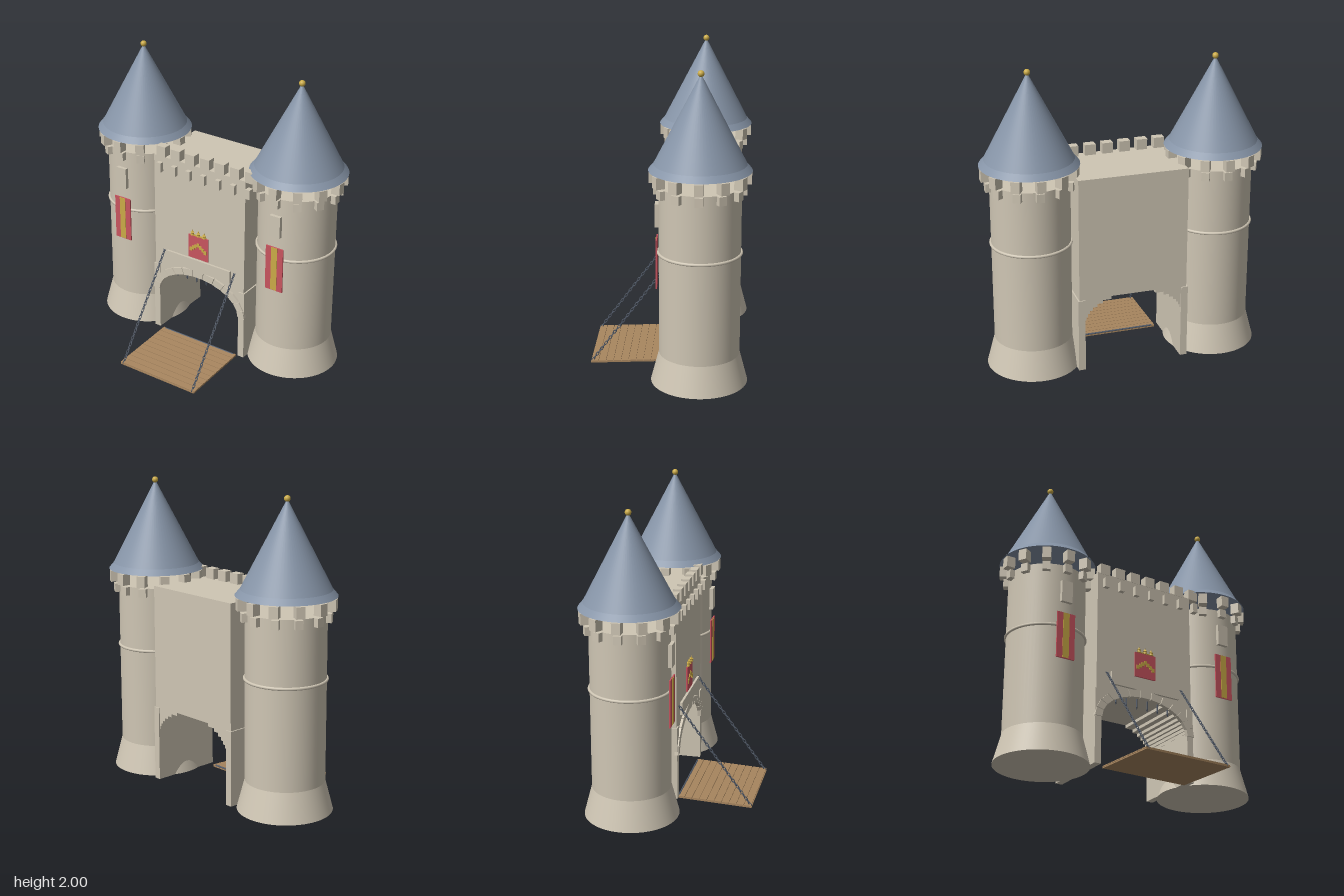
import * as THREE from 'three';

const material = (name, color) => {
  const m = new THREE.MeshStandardMaterial({ color });
  m.name = name;
  return m;
};

export function createModel() {
  const stone = material('stone', 0xcfc6b4);
  const slate = material('slate', 0x8795a8);
  const wood = material('wood', 0xa8865f);
  const iron = material('iron', 0x4f5866);
  const red = material('red', 0xc9545f);
  const gold = material('gold', 0xcbab47);

  const root = new THREE.Group();
  root.name = 'castleGate';

  const add = (parent, name, geometry, mat, x = 0, y = 0, z = 0) => {
    const mesh = new THREE.Mesh(geometry, mat);
    mesh.name = name;
    mesh.position.set(x, y, z);
    parent.add(mesh);
    return mesh;
  };
  // Box given by its extents
  const box = (parent, name, mat, x0, x1, y0, y1, z0, z1) =>
    add(parent, name, new THREE.BoxGeometry(x1 - x0, y1 - y0, z1 - z0), mat,
      (x0 + x1) / 2, (y0 + y1) / 2, (z0 + z1) / 2);
  const cylinder = (parent, name, mat, rTop, rBottom, y0, y1, open = false) =>
    add(parent, name, new THREE.CylinderGeometry(rTop, rBottom, y1 - y0, 64, 1, open), mat, 0, (y0 + y1) / 2, 0);

  // Round towers
  for (const side of [-1, 1]) {
    const tower = new THREE.Group();
    tower.name = side > 0 ? 'leftTower' : 'rightTower';
    tower.position.set(side * 0.6, 0, -0.2);
    root.add(tower);

    cylinder(tower, 'flaredBase', stone, 0.25, 0.3, 0.045, 0.235);
    cylinder(tower, 'shaft', stone, 0.25, 0.25, 0.235, 1.305);
    const band = add(tower, 'stringCourse', new THREE.TorusGeometry(0.252, 0.01, 8, 64), stone, 0, 0.885, 0);
    band.rotation.x = Math.PI / 2;

    // Ring of corbels and merlons
    for (let i = 0; i < 12; i++) {
      const segment = new THREE.Group();
      segment.name = 'parapetSegment';
      segment.rotation.y = (i * Math.PI) / 6;
      tower.add(segment);
      box(segment, 'corbel', stone, -0.025, 0.025, 1.25, 1.305, 0.235, 0.282);
      box(segment, 'merlon', stone, -0.028, 0.028, 1.32, 1.393, 0.25, 0.308);
    }

    // Conical roof
    cylinder(tower, 'eave', slate, 0.28, 0.312, 1.4, 1.438);
    cylinder(tower, 'roof', slate, 0, 0.28, 1.438, 1.98, true);
    add(tower, 'finial', new THREE.SphereGeometry(0.02, 20, 14), gold, 0, 1.98, 0);

    // Blind window and banner
    box(tower, 'window', stone, -0.038, 0.038, 1.045, 1.19, 0.235, 0.272);
    box(tower, 'banner', red, -0.063, 0.063, 0.662, 0.97, 0.258, 0.266);
    box(tower, 'bannerStripe', gold, -0.022, 0.022, 0.666, 0.968, 0.266, 0.269);
  }

  // Gatehouse wall with a stepped arched passage
  const a = 0.32, b = 0.19, springY = 0.35, steps = 9;
  const half = [];
  for (let i = 0; i < steps; i++) {
    const x = a * Math.sqrt(1 - (i / steps) ** 2);
    half.push([x, springY + (b * i) / steps], [x, springY + (b * (i + 1)) / steps]);
  }
  const outline = [
    [-0.355, 0.045], [-a, 0.045],
    ...half.map(([x, y]) => [-x, y]),
    ...half.slice().reverse(),
    [a, 0.045], [0.355, 0.045], [0.355, 1.343], [-0.355, 1.343],
  ].map(([x, y]) => new THREE.Vector2(x, y));
  add(root, 'gateWall', new THREE.ExtrudeGeometry(new THREE.Shape(outline),
    { depth: 0.46, bevelEnabled: false }), stone, 0, 0, -0.43);

  // Jambs lining the passage
  for (const s of [-1, 1]) {
    add(root, 'jamb', new THREE.BoxGeometry(0.045, 0.49, 0.475), stone, s * 0.3415, 0.29, -0.2);
  }

  // Arch stones
  const stones = 13;
  const onArch = (t, grow) => new THREE.Vector2((a + grow) * Math.cos(t), springY + (b + grow) * Math.sin(t));
  for (let i = 0; i < stones; i++) {
    const t0 = (i / stones) * Math.PI + 0.006, t1 = ((i + 1) / stones) * Math.PI - 0.006;
    const shape = new THREE.Shape([onArch(t0, -0.002), onArch(t0, 0.048), onArch(t1, 0.048), onArch(t1, -0.002)]);
    add(root, 'archStone', new THREE.ExtrudeGeometry(shape, { depth: 0.025, bevelEnabled: false }), stone, 0, 0, 0.02);
  }

  // Battlements along the front edge
  for (let i = 0; i < 7; i++) {
    const x = -0.3 + i * 0.1145;
    box(root, 'wallMerlon', stone, x - 0.035, x + 0.035, 1.338, 1.412, -0.022, 0.032);
    box(root, 'wallCorbel', stone, x - 0.017, x + 0.017, 1.24, 1.305, 0.02, 0.058);
  }

  // Lintel above the arch
  box(root, 'lintel', stone, -0.253, 0.253, 0.585, 0.668, 0.02, 0.045);

  // Shield with chevron and crown
  box(root, 'shield', red, -0.077, 0.077, 0.678, 0.845, 0.03, 0.039);
  for (let i = -3; i <= 3; i++) {
    const x = i * 0.019, y = 0.783 - Math.abs(i) * 0.0135;
    box(root, 'chevronBlock', gold, x - 0.0095, x + 0.0095, y - 0.013, y + 0.013, 0.039, 0.044);
  }
  box(root, 'crownBand', gold, -0.06, 0.06, 0.845, 0.851, 0.03, 0.042);
  for (const x of [-0.046, 0, 0.046]) {
    add(root, 'crownPoint', new THREE.ConeGeometry(0.013, 0.042, 8), gold, x, 0.868, 0.037);
    add(root, 'crownBead', new THREE.OctahedronGeometry(0.015), gold, x, 0.865, 0.037);
  }

  // Raised portcullis
  for (let i = 0; i < 6; i++) {
    const x = (i - 2.5) * 0.0775;
    add(root, 'portcullisBar', new THREE.CylinderGeometry(0.005, 0.005, 0.09, 8), iron, x, 0.525, 0);
    add(root, 'portcullisSpike', new THREE.ConeGeometry(0.006, 0.016, 8).rotateX(Math.PI), iron, x, 0.475, 0);
  }

  // Lowered drawbridge
  const bridge = new THREE.Group();
  bridge.name = 'drawbridge';
  bridge.position.set(0, 0.033, 0.025);
  bridge.rotation.x = 0.046;
  root.add(bridge);
  box(bridge, 'deck', wood, -0.298, 0.298, -0.01, -0.002, 0, 0.488);
  const planks = 10, pitch = 0.488 / planks;
  for (let i = 0; i < planks; i++) {
    box(bridge, 'plank', wood, -0.3, 0.3, -0.002, 0.005, i * pitch, (i + 1) * pitch - 0.004);
  }
  const hinge = add(root, 'hingeRod', new THREE.CylinderGeometry(0.006, 0.006, 0.56, 10), iron, 0, 0.035, 0.03);
  hinge.rotation.z = Math.PI / 2;

  // Chains of alternating links
  const top = new THREE.Vector3(0, 0.662, 0.027), end = new THREE.Vector3(0, 0.018, 0.5);
  const dir = end.clone().sub(top).normalize();
  const aim = new THREE.Quaternion().setFromUnitVectors(new THREE.Vector3(0, 1, 0), dir);
  const linkGeometry = new THREE.TorusGeometry(0.0075, 0.0028, 6, 12).scale(1, 1.9, 1);
  const links = 34;
  for (const s of [-1, 1]) {
    const chain = new THREE.Group();
    chain.name = s > 0 ? 'leftChain' : 'rightChain';
    chain.position.x = s * 0.28;
    root.add(chain);
    for (let i = 0; i < links; i++) {
      const p = top.clone().lerp(end, i / (links - 1));
      const link = add(chain, 'chainLink', linkGeometry, iron, p.x, p.y, p.z);
      link.quaternion.copy(aim);
      link.rotateY((i % 2) * Math.PI / 2);
    }
  }

  return root;
}
